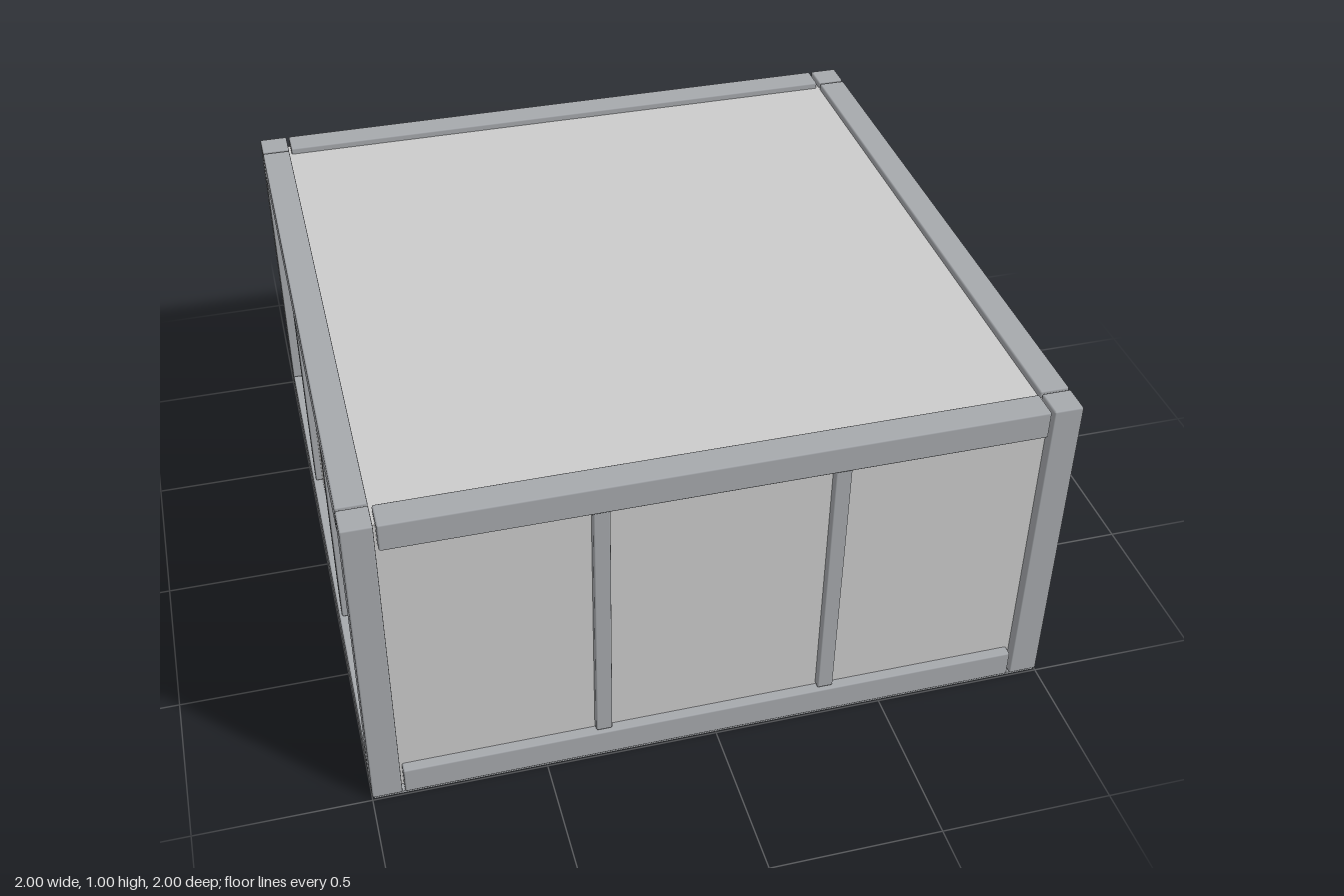
import * as THREE from 'three';
import { RoundedBoxGeometry } from 'three/addons/geometries/RoundedBoxGeometry.js';

const panelMaterial = new THREE.MeshStandardMaterial({ color: 0xcccccc });
const frameMaterial = new THREE.MeshStandardMaterial({ color: 0xa6a9ad });

const T = 0.085;        // frame bar thickness
const BASE = 0.008;     // underside plate thickness
const GAP = 0.008;      // joint between bars and posts
const BEVEL = 0.005;

function add(parent, name, geometry, material, x, y, z) {
  const mesh = new THREE.Mesh(geometry, material);
  mesh.name = name;
  mesh.position.set(x, y, z);
  parent.add(mesh);
  return mesh;
}

const bar = (w, h, d) => new RoundedBoxGeometry(w, h, d, 1, BEVEL);

export function createModel() {
  const model = new THREE.Group();
  model.name = 'panelledPlatform';

  // Inner box: its faces are the recessed side and top panels
  add(model, 'panels', new THREE.BoxGeometry(1.94, 0.97, 1.94), panelMaterial, 0, 0.495, 0);
  add(model, 'basePlate', new THREE.BoxGeometry(1.99, BASE, 1.99), frameMaterial, 0, BASE / 2, 0);

  // Corner posts
  const offset = 1 - T / 2;
  const postHeight = 1 - BASE;
  for (const x of [-offset, offset]) {
    for (const z of [-offset, offset]) {
      add(model, 'cornerPost', bar(T, postHeight, T), frameMaterial, x, BASE + postHeight / 2, z);
    }
  }

  // Each side: top and bottom rails with two slim dividers between them
  const railLength = 2 * (1 - T - GAP);
  const dividerBottom = BASE + T + 0.003;
  const dividerTop = 1 - T - 0.003;
  ['front', 'left', 'back', 'right'].forEach((label, i) => {
    const side = new THREE.Group();
    side.name = label + 'Side';
    side.rotation.y = i * Math.PI / 2;
    add(side, 'topRail', bar(railLength, T, T), frameMaterial, 0, 1 - T / 2, offset);
    add(side, 'bottomRail', bar(railLength, T, T), frameMaterial, 0, BASE + T / 2, offset);
    for (const x of [-0.33, 0.33]) {
      add(side, 'divider', bar(0.047, dividerTop - dividerBottom, 0.047), frameMaterial,
        x, (dividerTop + dividerBottom) / 2, 0.968);
    }
    model.add(side);
  });

  return model;
}
